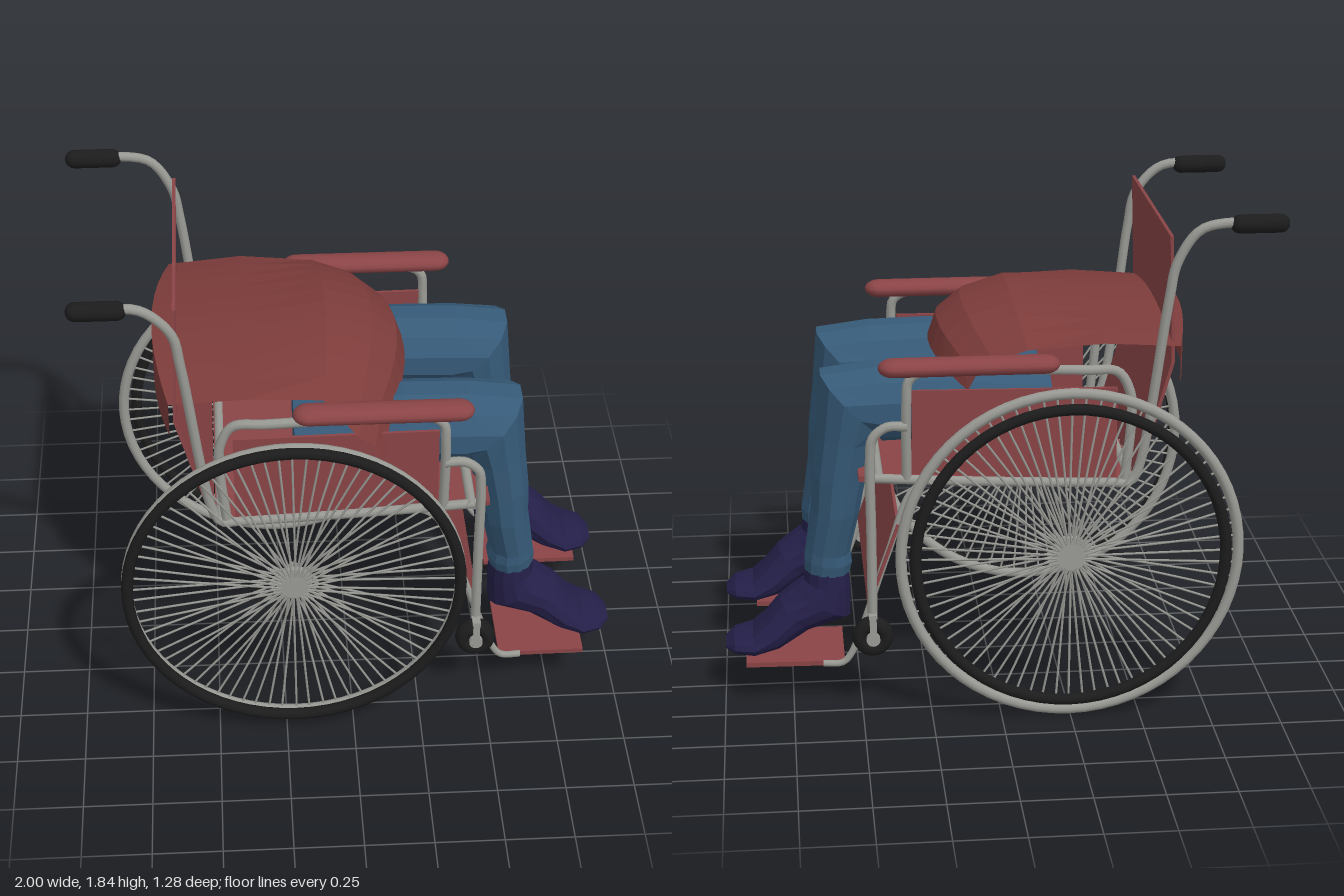
import * as THREE from 'three';
import { mergeGeometries } from 'three/addons/utils/BufferGeometryUtils.js';

const mat = (color, flatShading = false) =>
  new THREE.MeshStandardMaterial({ color, flatShading, side: THREE.DoubleSide });
const METAL = mat(0x999994), BLACK = mat(0x1c1c1c), RED = mat(0x8a4446), CLOTH = mat(0x7c3c3a, true);
const DENIM = mat(0x365a78, true), SOCK = mat(0x241f48, true);
const V = (x, y, z) => new THREE.Vector3(x, y, z);

function add(parent, name, geometry, material, x = 0, y = 0, z = 0) {
  const m = new THREE.Mesh(geometry, material);
  m.name = name;
  m.position.set(x, y, z);
  parent.add(m);
  return m;
}

// Bent tube through [x, y, z] points
function tube(parent, name, pts, r = 0.018) {
  const curve = new THREE.CatmullRomCurve3(pts.map(p => V(...p)), false, 'centripetal');
  return add(parent, name, new THREE.TubeGeometry(curve, pts.length * 8, r, 8), METAL);
}

// Thin board between two side-view points, spanning z0..z1
function slab(parent, name, [x1, y1], [x2, y2], z0, z1, t = 0.012) {
  const len = Math.hypot(x2 - x1, y2 - y1);
  const m = add(parent, name, new THREE.BoxGeometry(len, t, z1 - z0), RED,
    (x1 + x2) / 2, (y1 + y2) / 2, (z0 + z1) / 2);
  m.rotation.z = Math.atan2(y2 - y1, x2 - x1);
  return m;
}

// Surface over rows of points, optionally closing each row into a ring with end caps
function skin(rows, ring) {
  const n = rows[0].length, index = [], pos = rows.flat().flatMap(p => [p.x, p.y, p.z]);
  const cols = ring ? n : n - 1;
  for (let k = 0; k < rows.length - 1; k++)
    for (let i = 0; i < cols; i++) {
      const a = k * n + i, b = k * n + (i + 1) % n;
      index.push(a, b, b + n, a, b + n, a + n);
    }
  if (ring) {
    const last = (rows.length - 1) * n;
    for (let i = 1; i < n - 1; i++) index.push(0, i + 1, i, last, last + i, last + i + 1);
  }
  const g = new THREE.BufferGeometry();
  g.setAttribute('position', new THREE.Float32BufferAttribute(pos, 3));
  g.setIndex(index);
  g.computeVertexNormals();
  return g;
}

// Limb from sections [x, y, tilt in degrees, in-plane radius, z radius]
function limb(sections, sides) {
  return skin(sections.map(([x, y, deg, ru, rz]) => {
    const t = THREE.MathUtils.degToRad(deg);
    return Array.from({ length: sides }, (_, i) => {
      const a = (i + 0.5) / sides * Math.PI * 2, u = Math.cos(a) * ru;
      return V(x + u * Math.cos(t), y + u * Math.sin(t), Math.sin(a) * rz);
    });
  }), true);
}

function wheel(s, rimR, pushR) {
  const g = new THREE.Group();
  g.name = 'rearWheel';
  add(g, 'wheelRim', new THREE.TorusGeometry(rimR, 0.02, 8, 64), METAL);
  add(g, 'blackRing', new THREE.TorusGeometry(pushR, 0.021, 8, 64), BLACK, 0, 0, s * 0.027);
  add(g, 'hub', new THREE.CylinderGeometry(0.065, 0.065, 0.03, 20).rotateX(Math.PI / 2), METAL, 0, 0, -s * 0.012);
  add(g, 'axle', new THREE.CylinderGeometry(0.02, 0.02, 0.11, 10).rotateX(Math.PI / 2), METAL, 0, 0, -s * 0.05);
  // Crossed spokes from two hub flanges
  const spokes = [], count = 72;
  for (let i = 0; i < count; i++) {
    const a = i / count * Math.PI * 2, b = a + (i % 2 ? 0.09 : -0.09);
    const p = V(Math.cos(a) * 0.05, Math.sin(a) * 0.05, i % 4 < 2 ? 0.02 : -0.025);
    const q = V(Math.cos(b) * rimR, Math.sin(b) * rimR, 0);
    spokes.push(new THREE.TubeGeometry(new THREE.LineCurve3(p, q), 1, 0.0045, 5));
  }
  add(g, 'spokes', mergeGeometries(spokes), METAL);
  return g;
}

export function createModel() {
  const model = new THREE.Group();

  // Rear wheels
  const left = wheel(1, 0.602, 0.6), right = wheel(-1, 0.605, 0.555);
  left.position.set(-0.215, 0.67, 0.585);
  right.position.set(-0.245, 0.635, -0.6);
  model.add(left, right);

  for (const s of [1, -1]) {
    const side = new THREE.Group();
    side.name = s > 0 ? 'leftFrame' : 'rightFrame';
    model.add(side);
    const z = s * 0.5 - 0.025, gx = s > 0 ? 0 : -0.035, gy = s > 0 ? 0 : 0.025;

    // Push handle, back post and seat rail
    const hz = s * 0.505 - 0.025, pz = s * 0.475 - 0.02;
    tube(side, 'backPost', [[-0.85 + gx, 1.79 + gy, hz], [-0.75 + gx, 1.795 + gy, hz], [-0.69, 1.77 + gy, hz],
      [-0.615, 1.68, z], [-0.59, 1.55, z], [-0.5, 0.92, pz], [-0.47, 0.865, pz], [-0.4, 0.865, pz],
      [0.15, 0.89, pz], [0.46, 0.91, pz]]);
    add(side, 'handGrip', new THREE.CapsuleGeometry(0.034, 0.14, 4, 12).rotateZ(Math.PI / 2), BLACK,
      -0.865 + gx, 1.79 + gy, hz);

    // Arm frame, side panel and arm pad
    tube(side, 'armFrame', [[-0.45, 0.88, pz], [-0.47, 1.1, pz], [-0.465, 1.2, pz], [-0.42, 1.28, pz],
      [-0.3, 1.3, z], [0.0, 1.31, z], [0.27, 1.31, z], [0.32, 1.28, z], [0.33, 1.2, z], [0.33, 0.9, pz]]);
    const shape = new THREE.Shape([[-0.42, 0.87], [0.31, 0.92], [0.31, 1.23], [-0.42, 1.22]]
      .map(p => new THREE.Vector2(...p)));
    add(side, 'sidePanel', new THREE.ExtrudeGeometry(shape, { depth: 0.012, bevelEnabled: false }), RED,
      0, 0, s * 0.465 - 0.025);
    const pad = add(side, 'armPad', new THREE.CapsuleGeometry(0.054, 0.53, 5, 14).rotateZ(Math.PI / 2), RED,
      0.11, 1.33, s * 0.5 - 0.033);
    pad.scale.y = 0.6;

    // Front post down to the caster
    tube(side, 'frontPost', [[0.33, 1.11, z], [0.4, 1.11, z], [0.45, 1.07, z], [0.46, 1.0, z],
      [0.46, 0.7, z], [0.46, 0.4, z]]);
    const cz = s * 0.5 - 0.015;
    for (const d of [-0.042, 0.042])
      add(side, 'casterFork', new THREE.BoxGeometry(0.025, 0.11, 0.008), METAL, 0.46, 0.35, cz + d);
    add(side, 'forkCrown', new THREE.BoxGeometry(0.03, 0.015, 0.09), METAL, 0.46, 0.4, cz);
    add(side, 'casterTyre', new THREE.TorusGeometry(0.046, 0.029, 10, 24), BLACK, 0.46, 0.31, cz).scale.z = 1.25;
    add(side, 'casterHub', new THREE.CylinderGeometry(0.025, 0.025, 0.085, 14).rotateX(Math.PI / 2), METAL, 0.46, 0.31, cz);

    // Leg rest tube and footplate
    const lz = s * 0.432;
    tube(side, 'legRestTube', [[0.1, 0.87, lz], [0.24, 0.875, lz], [0.31, 0.83, lz], [0.4, 0.59, lz], [0.54, 0.2, lz],
      [0.57, 0.17, lz], [0.64, 0.17, lz]], 0.013);
    const inner = s * 0.125, outer = s * 0.43;
    slab(side, 'footplate', [0.56, 0.168], [s > 0 ? 0.88 : 0.92, 0.172],
      Math.min(inner, outer), Math.max(inner, outer), 0.018);
  }

  // Seat, backrest, calf strap and cross tubes
  slab(model, 'seat', [-0.49, 0.865], [0.5, 0.9], -0.475, 0.445, 0.02);
  slab(model, 'backrestUpper', [-0.62, 1.3], [-0.605, 1.76], -0.465, 0.44);
  slab(model, 'backrestLower', [-0.5, 0.87], [-0.62, 1.3], -0.465, 0.44);
  slab(model, 'calfStrap', [0.47, 0.4], [0.36, 0.71], -0.45, 0.425);
  tube(model, 'frontCrossTube', [[0.43, 0.91, -0.5], [0.43, 0.91, 0.475]]);
  tube(model, 'rearCrossTube', [[-0.47, 0.87, -0.49], [-0.47, 0.87, 0.455]]);

  // Legs and feet
  const legGeo = limb([[-0.2, 1.11, 90, 0.12, 0.15], [0.2, 1.13, 90, 0.145, 0.165], [0.42, 1.125, 85, 0.145, 0.168],
    [0.515, 1.13, 45, 0.16, 0.168], [0.54, 1.0, 5, 0.108, 0.155], [0.565, 0.85, 5, 0.1, 0.145],
    [0.58, 0.72, 5, 0.09, 0.135], [0.61, 0.56, 5, 0.083, 0.108], [0.61, 0.52, 5, 0.09, 0.108],
    [0.615, 0.48, 5, 0.085, 0.1]], 12);
  const footGeo = limb([[0.615, 0.51, 5, 0.078, 0.095], [0.615, 0.43, 10, 0.088, 0.105], [0.635, 0.36, 30, 0.12, 0.118],
    [0.735, 0.315, 47, 0.085, 0.115], [0.82, 0.245, 65, 0.066, 0.128], [0.89, 0.21, 85, 0.045, 0.135],
    [0.96, 0.205, 88, 0.036, 0.105], [0.995, 0.2, 90, 0.014, 0.05]], 14);
  for (const z of [0.235, -0.27]) {
    add(model, 'trouserLeg', legGeo, DENIM, 0, 0, z);
    add(model, 'sockFoot', footGeo, SOCK, 0, 0, z);
  }

  // Lap cloth rows: centre x, edge x, centre y, edge y, half width
  const rows = [[-0.7, -0.64, 1.22, 1.24, 0.47], [-0.7, -0.64, 1.42, 1.37, 0.47], [-0.37, -0.37, 1.445, 1.39, 0.48],
    [-0.07, -0.1, 1.48, 1.37, 0.47], [0.1, 0.02, 1.43, 1.33, 0.46], [0.19, 0.08, 1.36, 1.28, 0.45],
    [0.22, 0.11, 1.27, 1.22, 0.45]];
  const cloth = rows.map(([xc, xe, yc, ye, w], k) => Array.from({ length: 11 }, (_, i) => {
    const v = i / 5 - 1, q = v * v;
    const flap = k > 3 && i === 10 ? 1 : 0; // drooping front corner
    return V(xc + (xe - xc) * q, yc + (ye - yc) * q - flap * 0.06, v * w - 0.03 + flap * 0.1);
  }));
  // Rows run from -z to +z
  add(model, 'lapCloth', skin(cloth.map(r => r.reverse()), false), CLOTH);

  return model;
}
